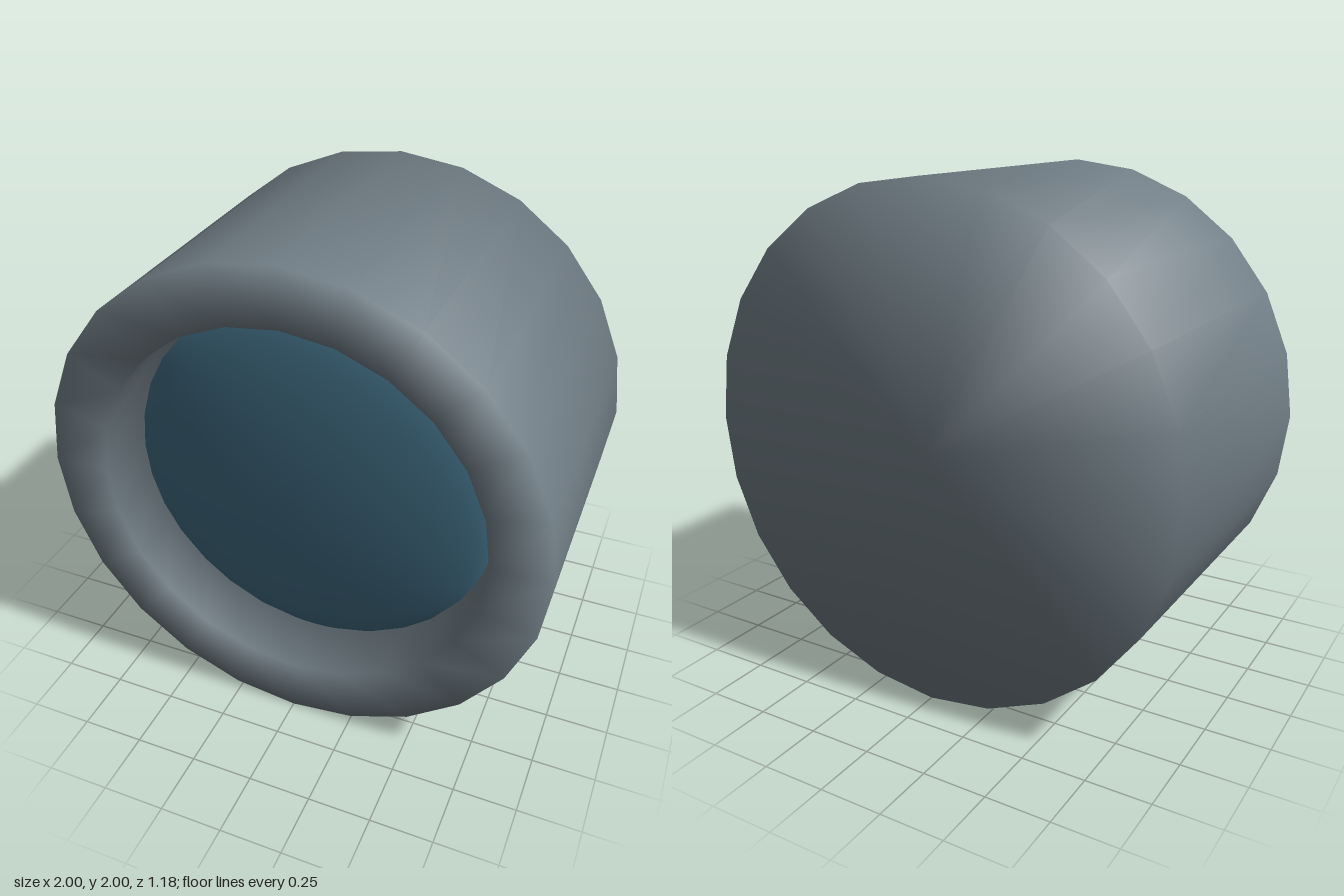
import * as THREE from 'three';

const FLOOR_Z = 0.35; // depth of the recess behind the front rim

export function createModel() {
  const casing = new THREE.MeshStandardMaterial({ name: 'grey casing', color: 0x727f87 });
  const glass = new THREE.MeshStandardMaterial({ name: 'blue glass', color: 0x3f6a80 });

  const model = new THREE.Group();
  model.name = 'roundLamp';

  // Smooth drum, profile as [radius, z]: back, barrel, front rim, recess wall and floor
  const profile = [
    [0, -0.59], [1, -0.59], [1, 0.59], [0.77, 0.59], [0.77, FLOOR_Z], [0, FLOOR_Z],
  ].map(([r, z]) => new THREE.Vector2(r, z));
  const housing = new THREE.Mesh(new THREE.LatheGeometry(profile, 24).rotateX(Math.PI / 2), casing);
  housing.name = 'housing';
  housing.position.y = 1;
  model.add(housing);

  // Flattened ball set into the recess floor as a domed lens
  const lens = new THREE.Mesh(new THREE.SphereGeometry(0.74, 32, 16).scale(1, 1, 0.19), glass);
  lens.name = 'lens';
  lens.position.set(0, 1, FLOOR_Z);
  model.add(lens);

  return model;
}
